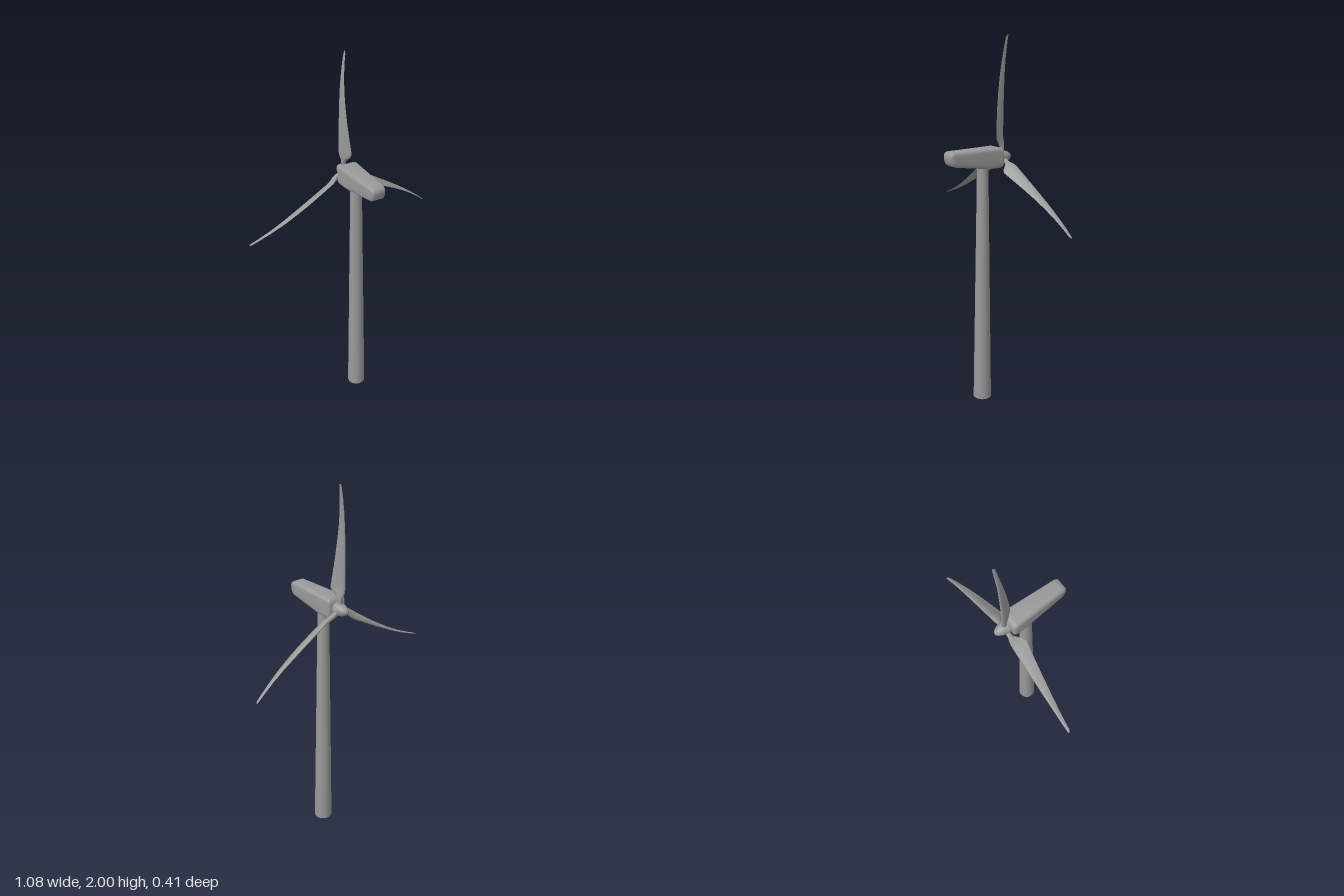
import * as THREE from 'three';
import { toCreasedNormals } from 'three/addons/utils/BufferGeometryUtils.js';

const AXIS_X = 0.01, HUB_Y = 1.376;

// Polygon with each corner replaced by a curve
function roundedShape(points, r) {
  const shape = new THREE.Shape();
  const v = points.map(([x, y]) => new THREE.Vector2(x, y));
  v.forEach((p, i) => {
    const prev = v[(i + v.length - 1) % v.length], next = v[(i + 1) % v.length];
    const a = prev.clone().sub(p).setLength(r).add(p);
    const b = next.clone().sub(p).setLength(r).add(p);
    if (i === 0) shape.moveTo(a.x, a.y); else shape.lineTo(a.x, a.y);
    shape.quadraticCurveTo(p.x, p.y, b.x, b.y);
  });
  shape.closePath();
  return shape;
}

// Side profile (z, y) extruded across, then narrowed towards the front
function nacelleGeometry() {
  const bevel = 0.018, half = 0.0565;
  const shape = roundedShape([
    [0.186, 1.416], [-0.112, 1.416], [-0.112, 1.343], [-0.03, 1.344], [0.01, 1.351], [0.178, 1.376],
  ], 0.012);
  const geo = new THREE.ExtrudeGeometry(shape, {
    depth: 2 * (half - bevel), bevelEnabled: true, bevelThickness: bevel,
    bevelSize: bevel, bevelSegments: 4, curveSegments: 4,
  });
  geo.translate(0, 0, bevel - half);
  geo.rotateY(-Math.PI / 2);
  const pos = geo.attributes.position;
  for (let i = 0; i < pos.count; i++) {
    const k = (pos.getZ(i) + 0.13) / 0.334;
    pos.setX(i, pos.getX(i) * (1 - 0.3 * k));
  }
  return toCreasedNormals(geo, 0.6);
}

// Blade pointing up, lofted through aerofoil sections
function bladeGeometry() {
  // radius, leading x, leading z, trailing x, trailing z, half thickness, aerofoil amount
  const stations = [
    [0.015, 0, -0.162, 0, -0.136, 0.013, 0],
    [0.055, 0, -0.162, 0, -0.136, 0.013, 0],
    [0.072, -0.009, -0.165, 0.007, -0.122, 0.012, 0.3],
    [0.088, -0.015, -0.167, 0.014, -0.106, 0.010, 0.5],
    [0.11, -0.019, -0.168, 0.018, -0.097, 0.008, 0.7],
    [0.18, -0.017, -0.168, 0.011, -0.104, 0.007, 0.7],
    [0.26, -0.015, -0.168, 0.004, -0.113, 0.006, 0.7],
    [0.34, -0.012, -0.168, 0.000, -0.122, 0.005, 0.7],
    [0.42, -0.008, -0.168, -0.001, -0.132, 0.004, 0.7],
    [0.50, -0.001, -0.168, 0.003, -0.142, 0.003, 0.7],
    [0.57, 0.009, -0.169, 0.011, -0.150, 0.0025, 0.7],
    [0.612, 0.017, -0.169, 0.018, -0.154, 0.002, 0.7],
    [0.624, 0.020, -0.169, 0.020, -0.160, 0.001, 0.5],
  ];
  const N = 20, pos = [], idx = [];
  for (const [r, lx, lz, tx, tz, thick, foil] of stations) {
    const hx = (tx - lx) / 2, hz = (tz - lz) / 2, len = Math.hypot(hx, hz);
    for (let i = 0; i < N; i++) {
      const a = (i / N) * Math.PI * 2, c = Math.cos(a);
      const t = Math.sin(a) * thick * (1 - foil * c) / len;
      pos.push((lx + tx) / 2 + hx * c + hz * t, r, (lz + tz) / 2 + hz * c - hx * t);
    }
  }
  for (let s = 0; s < stations.length - 1; s++) {
    for (let i = 0; i < N; i++) {
      const a = s * N + i, b = s * N + (i + 1) % N;
      idx.push(a, b, a + N, b, b + N, a + N);
    }
  }
  // Tip cap
  const top = (stations.length - 1) * N;
  for (let i = 1; i < N - 1; i++) idx.push(top, top + i, top + i + 1);
  const geo = new THREE.BufferGeometry();
  geo.setAttribute('position', new THREE.Float32BufferAttribute(pos, 3));
  geo.setIndex(idx);
  return toCreasedNormals(geo, 0.9);
}

export function createModel() {
  const grey = new THREE.MeshStandardMaterial({ color: 0x999999 });
  grey.name = 'grey';
  const model = new THREE.Group();
  model.name = 'windTurbine';
  const add = (parent, name, geo, x, y, z) => {
    const mesh = new THREE.Mesh(geo, grey);
    mesh.name = name;
    mesh.position.set(x, y, z);
    parent.add(mesh);
    return mesh;
  };

  // Tapered tower
  add(model, 'tower', new THREE.CylinderGeometry(0.03, 0.05, 1.345, 32), AXIS_X, 0.6725, -0.022);

  // Generator housing
  add(model, 'nacelle', nacelleGeometry(), AXIS_X, 0, 0);

  // Rotor: spinner and three blades
  const rotor = new THREE.Group();
  rotor.name = 'rotor';
  rotor.position.set(AXIS_X, HUB_Y, 0);
  model.add(rotor);

  const profile = [[0, 0.118], [0.034, 0.118], [0.036, 0.128], [0.035, 0.145], [0.031, 0.165],
    [0.025, 0.183], [0.016, 0.198], [0.008, 0.205], [0, 0.207]];
  const spinner = new THREE.LatheGeometry(profile.map(([r, h]) => new THREE.Vector2(r, h)), 32);
  spinner.rotateX(-Math.PI / 2);
  add(rotor, 'spinner', spinner, 0, 0, 0);

  const blade = bladeGeometry();
  for (let i = 0; i < 3; i++) {
    add(rotor, 'blade' + (i + 1), blade, 0, 0, 0).rotation.z = (i * Math.PI * 2) / 3;
  }
  return model;
}
